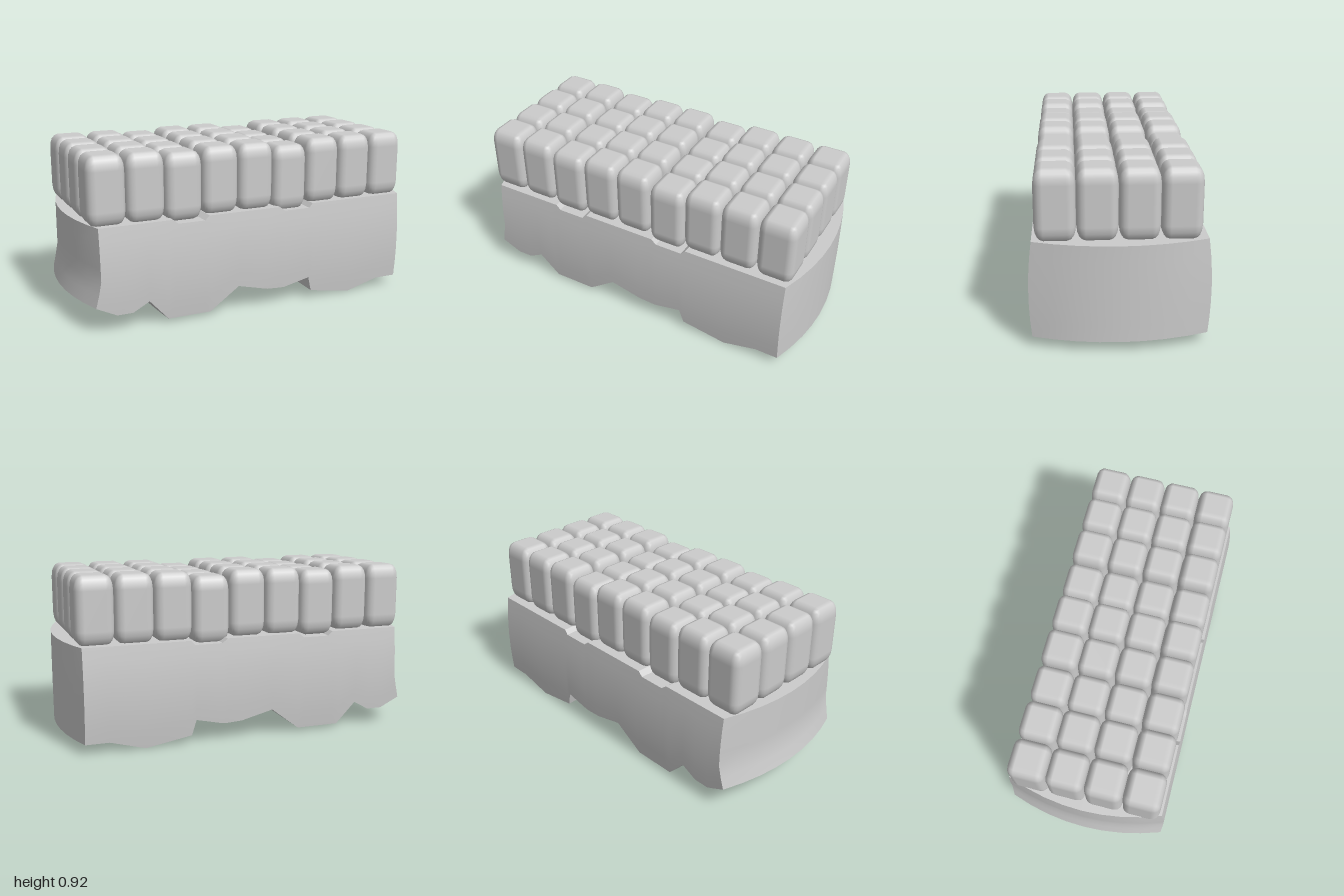
import * as THREE from 'three';
import { toCreasedNormals } from 'three/addons/utils/BufferGeometryUtils.js';
import { RoundedBoxGeometry } from 'three/addons/geometries/RoundedBoxGeometry.js';

// Lengthwise profile of the block: [x, bottom y, top y]
const PROFILE = [
  [-1, 0.145, 0.56], [-0.87, 0.09, 0.56], [-0.77, 0.09, 0.56], [-0.67, 0.14, 0.56],
  [-0.55, 0.02, 0.56], [-0.51, 0.02, 0.56], [-0.48, 0.02, 0.537], [-0.32, 0.02, 0.537],
  [-0.29, 0.02, 0.56], [-0.12, 0.145, 0.56], [0.06, 0.1, 0.56], [0.14, 0.095, 0.56],
  [0.17, 0.095, 0.537], [0.33, 0.13, 0.537], [0.355, 0.045, 0.56],
  [0.63, 0, 0.56], [0.85, 0.055, 0.56], [1, 0.055, 0.56],
];

// Block with a jagged underside, bowed ends and slightly bulging long sides
function blockGeometry() {
  const n = PROFILE.length - 1;
  const geo = new THREE.BoxGeometry(1, 1, 1, n, 6, 8);
  const pos = geo.attributes.position;
  for (let k = 0; k < pos.count; k++) {
    const i = Math.round((pos.getX(k) + 0.5) * n);
    const s = pos.getZ(k) * 2;
    const [px, low, high] = PROFILE[i];
    const y = THREE.MathUtils.lerp(low, high, pos.getY(k) + 0.5);
    let x = px - Math.sign(px) * 0.08 * px * px * s * s;
    // the left end leans inward above its lower edge
    if (i === 0) x += 0.03 * THREE.MathUtils.clamp((y - 0.145) / 0.125, 0, 1);
    const bulge = 0.02 * (1 - ((y - 0.28) / 0.28) ** 2);
    pos.setXYZ(k, x, y, s * (0.43 + bulge));
  }
  return toCreasedNormals(geo, 0.35);
}

export function createModel() {
  const model = new THREE.Group();
  model.name = 'studdedBlock';
  const material = new THREE.MeshStandardMaterial({ color: 0xcccccc });

  const block = new THREE.Mesh(blockGeometry(), material);
  block.name = 'block';
  model.add(block);

  // Nine columns by four rows of rounded studs; two columns sit in the notches
  const studGeo = new RoundedBoxGeometry(0.205, 0.21, 0.203, 2, 0.045);
  studGeo.scale(1, 1.75, 1);
  const drops = { 2: 0.015, 5: 0.025 };
  const studs = new THREE.Group();
  studs.name = 'studs';
  for (let c = 0; c < 9; c++) {
    for (let r = 0; r < 4; r++) {
      const stud = new THREE.Mesh(studGeo, material);
      stud.name = 'stud';
      stud.position.set(-0.83 + c * 0.2085, 0.736 - (drops[c] || 0), 0.314 - r * 0.204);
      studs.add(stud);
    }
  }
  model.add(studs);
  return model;
}
